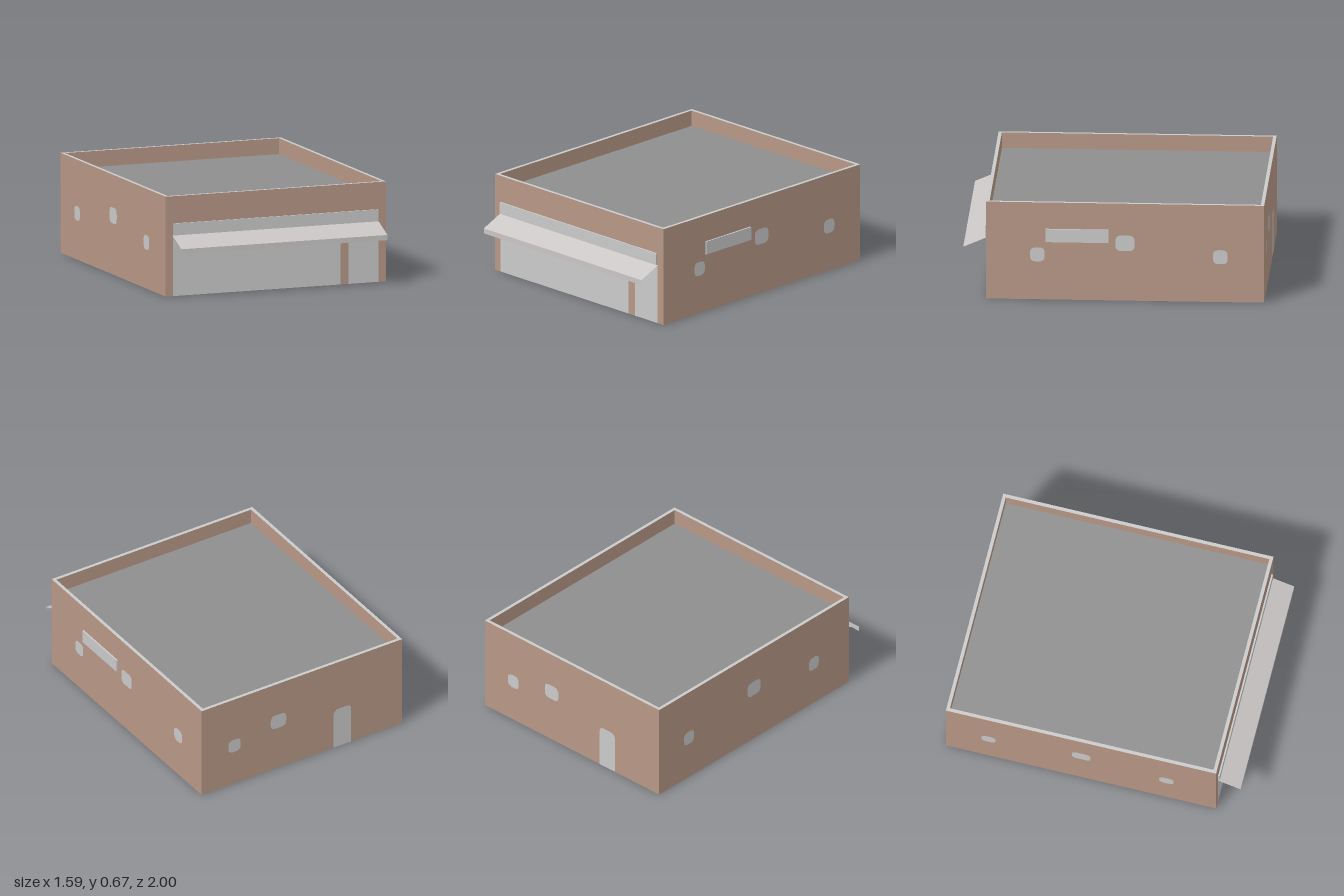
import * as THREE from 'three';

const X0 = -0.795, X1 = 0.782, Z0 = -1, Z1 = 0.846; // outer wall faces
const TOP = 0.672, ROOF = 0.565, RIM = 0.023;
const CX = (X0 + X1) / 2, CZ = (Z0 + Z1) / 2, W = X1 - X0, D = Z1 - Z0;

const material = (name, color) => {
  const m = new THREE.MeshStandardMaterial({ color, side: THREE.DoubleSide });
  m.name = name;
  return m;
};

// Door outline with rounded top corners, drawn from the floor up and back down
function traceDoor(path, [u0, u1, h, r]) {
  path.lineTo(u0, 0);
  path.lineTo(u0, h - r);
  path.quadraticCurveTo(u0, h, u0 + r, h);
  path.lineTo(u1 - r, h);
  path.quadraticCurveTo(u1, h, u1, h - r);
  path.lineTo(u1, 0);
}

// Softly rounded window outline
function windowShape([u, y, w, h]) {
  const s = new THREE.Shape(), a = w / 2, b = h / 2, r = 0.038;
  s.moveTo(u - a + r, y - b);
  s.lineTo(u + a - r, y - b);
  s.quadraticCurveTo(u + a, y - b, u + a, y - b + r);
  s.lineTo(u + a, y + b - r);
  s.quadraticCurveTo(u + a, y + b, u + a - r, y + b);
  s.lineTo(u - a + r, y + b);
  s.quadraticCurveTo(u - a, y + b, u - a, y + b - r);
  s.lineTo(u - a, y - b + r);
  s.quadraticCurveTo(u - a, y - b, u - a + r, y - b);
  return s;
}

export function createModel() {
  const model = new THREE.Group();
  const brick = material('brownWall', 0xb89887);
  const pale = material('paleGrey', 0xcacaca);
  const roofGrey = material('roofGrey', 0x8e8e8e);
  const awningGrey = material('awningGrey', 0xcac6c6);

  const add = (parent, name, geometry, mat, x = 0, y = 0, z = 0) => {
    const mesh = new THREE.Mesh(geometry, mat);
    mesh.name = name;
    mesh.position.set(x, y, z);
    parent.add(mesh);
    return mesh;
  };

  // One flat wall with its doors and windows set flush; u runs to the viewer's right
  function wall(name, width, doors, windows) {
    const group = new THREE.Group();
    group.name = name;
    const face = new THREE.Shape();
    face.moveTo(-width / 2, TOP);
    face.lineTo(-width / 2, 0);
    doors.forEach(d => traceDoor(face, d));
    face.lineTo(width / 2, 0);
    face.lineTo(width / 2, TOP);
    const panes = windows.map(windowShape);
    face.holes.push(...panes);
    add(group, name + 'Face', new THREE.ShapeGeometry(face), brick);
    doors.forEach(d => {
      const s = new THREE.Shape();
      s.moveTo(d[0], 0);
      traceDoor(s, d);
      add(group, 'door', new THREE.ShapeGeometry(s), pale);
    });
    panes.forEach(p => add(group, 'window', new THREE.ShapeGeometry(p), pale));
    model.add(group);
    return group;
  }

  // Front: wide door and narrow door
  wall('frontWall', W, [[-0.742 - CX, 0.456 - CX, 0.43, 0.04], [0.514 - CX, 0.727 - CX, 0.43, 0.04]], [])
    .position.set(CX, 0, Z1);

  // Back: one door and two windows
  const back = wall('backWall', W, [[CX + 0.256, CX + 0.394, 0.298, 0.04]],
    [[CX - 0.524, 0.302, 0.097, 0.097], [CX - 0.178, 0.372, 0.122, 0.106]]);
  back.position.set(CX, 0, Z0);
  back.rotation.y = Math.PI;

  // Matching side walls with three windows each
  for (const side of [1, -1]) {
    const panes = [[0.506, 0.311, 0.097, 0.097], [-0.076, 0.397, 0.126, 0.107], [-0.709, 0.311, 0.097, 0.097]]
      .map(([z, y, w, h]) => [-side * (z - CZ), y, w, h]);
    const g = wall(side > 0 ? 'leftWall' : 'rightWall', D, [], panes);
    g.position.set(side > 0 ? X1 : X0, 0, CZ);
    g.rotation.y = side * Math.PI / 2;
  }

  // Sunken flat roof
  add(model, 'roof', new THREE.PlaneGeometry(W, D).rotateX(-Math.PI / 2), roofGrey, CX, ROOF, CZ);

  // Inner parapet faces and the pale rim on top
  const parapet = new THREE.Group();
  parapet.name = 'parapet';
  model.add(parapet);
  const h = TOP - ROOF, iw = W - 2 * RIM, id = D - 2 * RIM;
  for (const s of [1, -1]) {
    add(parapet, 'parapetInnerEnd', new THREE.PlaneGeometry(iw, h), brick, CX, ROOF + h / 2, CZ + s * id / 2)
      .rotation.y = s > 0 ? Math.PI : 0;
    add(parapet, 'parapetInnerSide', new THREE.PlaneGeometry(id, h), brick, CX + s * iw / 2, ROOF + h / 2, CZ)
      .rotation.y = -s * Math.PI / 2;
  }
  const rect = (w, d) => [[-w, -d], [w, -d], [w, d], [-w, d]].map(([a, b]) => new THREE.Vector2(a / 2, b / 2));
  const rim = new THREE.Shape(rect(W, D));
  rim.holes.push(new THREE.Path(rect(iw, id)));
  add(parapet, 'parapetRim', new THREE.ShapeGeometry(rim).rotateX(-Math.PI / 2), pale, CX, TOP, CZ);

  // Sign panels on the front and one side
  add(model, 'frontSignPanel', new THREE.BoxGeometry(1.465, 0.08, 0.011), pale, -0.008, 0.449, Z1 + 0.0055);
  add(model, 'sideSignPanel', new THREE.BoxGeometry(0.42, 0.09, 0.011).rotateY(Math.PI / 2), pale,
    X1 + 0.0055, 0.445, 0.242);

  // Thin awning: sloping sheet with a hanging lip
  const awning = new THREE.Group();
  awning.name = 'awning';
  model.add(awning);
  const run = 1 - Z1, drop = 0.067, width = 1.475;
  const slope = add(awning, 'awningSheet', new THREE.PlaneGeometry(width, Math.hypot(run, drop)), awningGrey,
    -0.008, 0.34 + drop / 2, Z1 + run / 2);
  slope.rotation.x = Math.atan2(drop, run) - Math.PI / 2;
  add(awning, 'awningLip', new THREE.PlaneGeometry(width, 0.035), awningGrey, -0.008, 0.3225, 1);

  return model;
}
